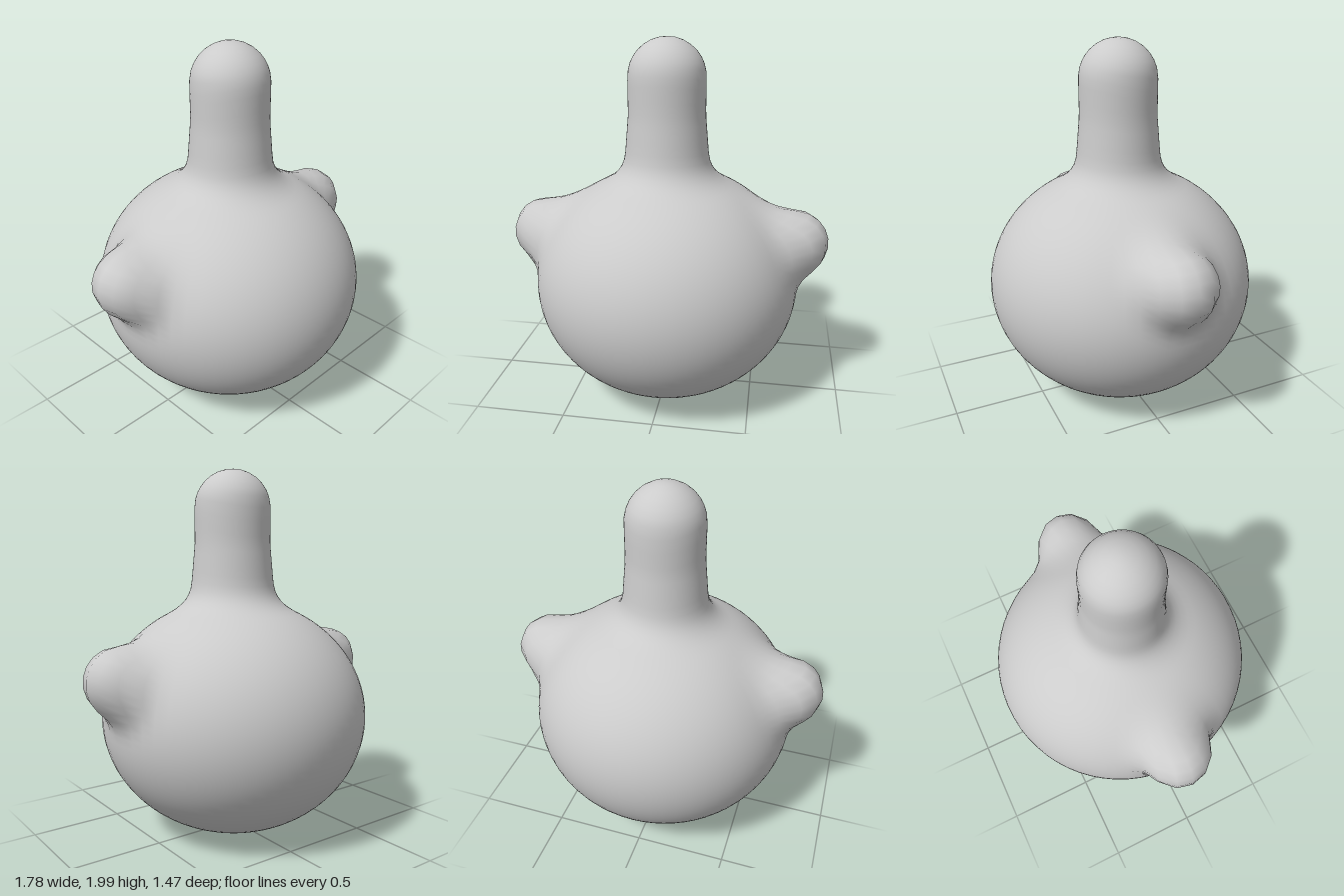
import * as THREE from 'three';
import { mergeVertices } from 'three/addons/utils/BufferGeometryUtils.js';

const CENTRE = new THREE.Vector3(0, 0.7, 0);

// polynomial smooth union of two distances
function blend(a, b, k) {
  const h = Math.max(k - Math.abs(a - b), 0) / k;
  return Math.min(a, b) - h * h * k * 0.25;
}

// squashed ball
function ballDistance(p) {
  const x = p.x / 0.735, y = (p.y - 0.655) / 0.65, z = p.z / 0.735;
  const k0 = Math.hypot(x, y, z);
  const k1 = Math.hypot(x / 0.735, y / 0.65, z / 0.735);
  return k0 * (k0 - 1) / k1;
}

// upright neck, a little wider at its foot
function neckDistance(p) {
  const y = THREE.MathUtils.clamp(p.y, 0.9, 1.793);
  const radius = 0.207 + Math.max(0, 1.6 - y) * 0.09;
  return Math.hypot(p.x, p.y - y, p.z - 0.01) - radius;
}

// stubby rounded arms, mirrored in x
function armDistance(p) {
  const x = Math.min(Math.abs(p.x), 0.705);
  return Math.hypot(Math.abs(p.x) - x, p.y - 0.91, p.z) - 0.185;
}

function distance(p) {
  return blend(blend(ballDistance(p), armDistance(p), 0.12), neckDistance(p), 0.12);
}

export function createModel() {
  const group = new THREE.Group();

  // turned ball and neck, which sets the spacing of the rings
  const outline = new THREE.SplineCurve([
    [0, 0.005], [0.3, 0.06], [0.53, 0.2], [0.69, 0.43], [0.735, 0.66],
    [0.69, 0.88], [0.6, 1.03], [0.45, 1.17], [0.3, 1.26], [0.24, 1.42],
    [0.21, 1.62], [0.205, 1.8], [0.15, 1.94], [0, 2],
  ].map(([x, y]) => new THREE.Vector2(x, y)));
  const points = outline.getSpacedPoints(64);
  points[0].x = points[64].x = 0;

  let geometry = new THREE.LatheGeometry(points, 64);
  geometry.deleteAttribute('uv');
  geometry.deleteAttribute('normal');

  // move each vertex along its ray onto the blended surface
  const position = geometry.attributes.position;
  const dir = new THREE.Vector3(), p = new THREE.Vector3();
  for (let i = 0; i < position.count; i++) {
    dir.fromBufferAttribute(position, i).sub(CENTRE).normalize();
    let inside = 0.3, outside = 1.6;
    for (let step = 0; step < 24; step++) {
      const mid = (inside + outside) / 2;
      p.copy(CENTRE).addScaledVector(dir, mid);
      if (distance(p) < 0) inside = mid;
      else outside = mid;
    }
    position.setXYZ(i, p.x, p.y, p.z);
  }
  geometry = mergeVertices(geometry, 1e-4);
  geometry.computeVertexNormals();

  const body = new THREE.Mesh(geometry, new THREE.MeshStandardMaterial({ color: 0xcccccc }));
  body.name = 'bodyWithNeckAndArms';
  group.add(body);
  return group;
}
